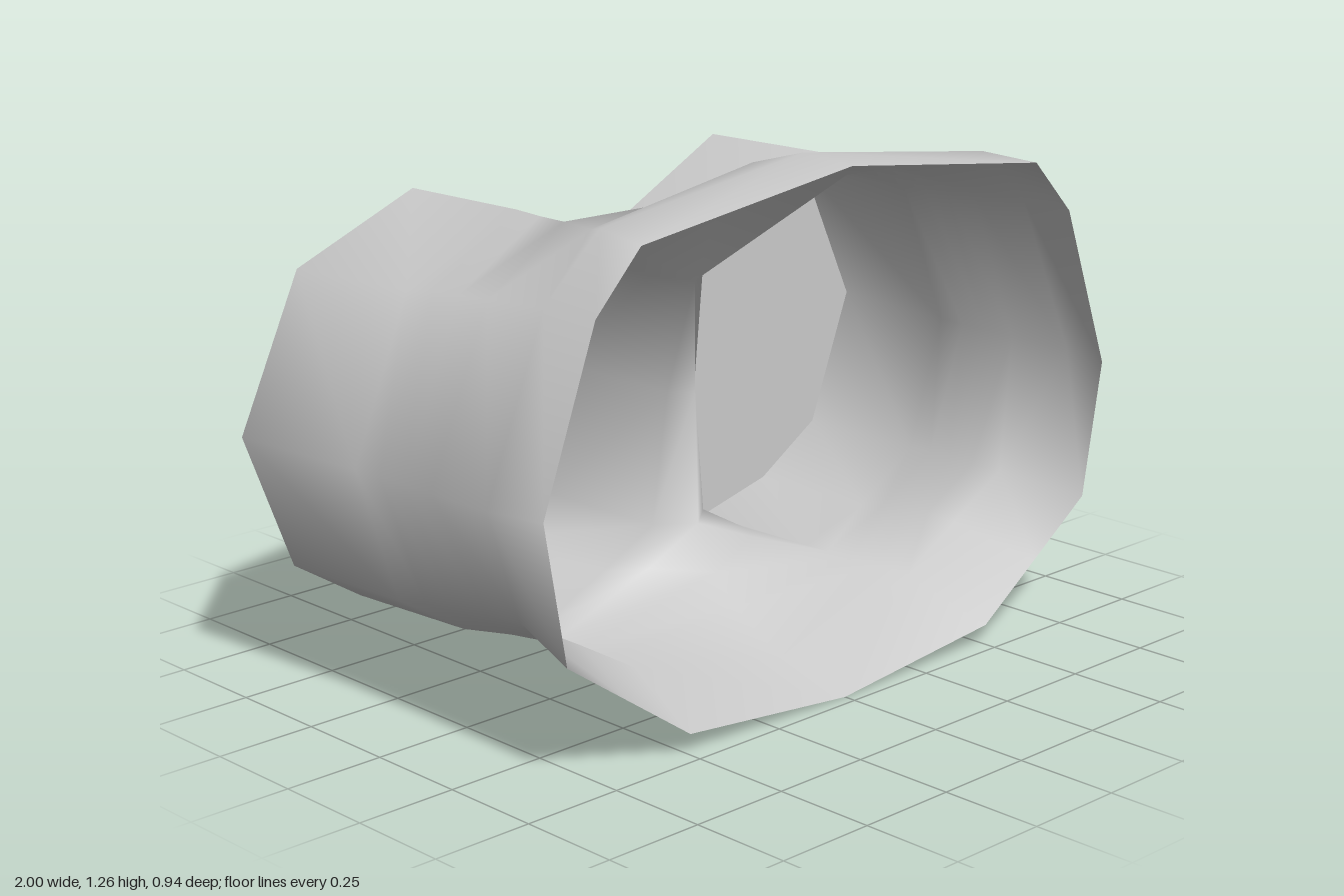
import * as THREE from 'three';
import { mergeVertices } from 'three/addons/utils/BufferGeometryUtils.js';

// Half sections of the body, front opening to crotch: from the top seam round the outside to the bottom seam
const bodySections = [
  [[0, 1.255, .47], [.64, 1.175, .47], [.77, 1.04, .47], [.92, .635, .47], [.86, .3, .47], [.68, .175, .47], [.5, .05, .47], [0, 0, .47]],
  [[0, 1.265, .32], [.62, 1.185, .32], [.78, 1.04, .32], [.955, .635, .33], [.8, .33, .25], [.63, .235, .25], [.46, .135, .25], [0, .04, .26]],
  [[0, 1.22, .16], [.5, 1.14, .16], [.79, 1.03, .15], [.957, .635, .15], [.81, .325, .15], [.64, .23, .15], [.46, .135, .15], [0, .13, .11]],
  [[0, 1.135, .07], [.49, 1.14, .06], [.795, 1.025, .06], [.958, .635, .06], [.83, .32, .06], [.65, .22, .06], [.46, .132, .06], [0, .2, .04]],
];

// Full sections of one leg, crotch to end: the last two points close the inner side
const legSections = [
  [[0, .91, -.03], [.49, 1.14, -.02], [.8, 1.02, -.02], [.96, .635, -.02], [.845, .315, -.02], [.66, .205, -.02], [.46, .13, -.02], [.17, .24, -.01], [0, .31, -.02], [0, .635, -.03]],
  [[.085, .925, -.09], [.49, 1.143, -.1], [.81, 1.01, -.1], [.965, .635, -.1], [.855, .305, -.1], [.67, .19, -.1], [.46, .128, -.1], [.24, .225, -.1], [.085, .31, -.09], [.045, .635, -.08]],
  [[.1, .93, -.47], [.49, 1.138, -.47], [.83, 1, -.47], [1, .637, -.47], [.87, .3, -.47], [.68, .18, -.47], [.46, .125, -.47], [.25, .225, -.47], [.1, .31, -.47], [.05, .637, -.47]],
];

// Adds triangles for one side; the mirrored side reverses the corner order
function pushTriangle(out, side, a, b, c) {
  for (const p of side > 0 ? [a, b, c] : [a, c, b]) out.push(side * p[0], p[1], p[2]);
}

function pushStrip(out, side, from, to, closed) {
  const n = from.length;
  for (let i = 0; i < (closed ? n : n - 1); i++) {
    const j = (i + 1) % n;
    pushTriangle(out, side, from[i], from[j], to[i]);
    pushTriangle(out, side, from[j], to[j], to[i]);
  }
}

function toGeometry(positions) {
  let g = new THREE.BufferGeometry();
  g.setAttribute('position', new THREE.Float32BufferAttribute(positions, 3));
  g = mergeVertices(g, 1e-4);
  g.computeVertexNormals();
  return g;
}

export function createModel() {
  const group = new THREE.Group();
  group.name = 'twinPipe';
  const grey = new THREE.MeshStandardMaterial({ color: 0xcccccc, side: THREE.DoubleSide });
  grey.name = 'light grey';

  const addMesh = (positions, name) => {
    const mesh = new THREE.Mesh(toGeometry(positions), grey);
    mesh.name = name;
    group.add(mesh);
  };

  // Smooth shell: open body splitting into two legs
  const shell = [];
  const crotch = legSections[0];
  // the body's last bottom-seam point joins the seam of the crotch section
  const crotchHalf = crotch.slice(0, 8);
  for (const side of [1, -1]) {
    for (let k = 0; k < bodySections.length - 1; k++) {
      pushStrip(shell, side, bodySections[k], bodySections[k + 1], false);
    }
    const last = bodySections[bodySections.length - 1];
    pushStrip(shell, side, last, crotchHalf, false);
    pushTriangle(shell, side, last[7], crotch[8], crotch[7]);
    for (let k = 0; k < legSections.length - 1; k++) {
      pushStrip(shell, side, legSections[k], legSections[k + 1], true);
    }
  }
  addMesh(shell, 'shell');

  // Flat leg ends
  const end = legSections[legSections.length - 1];
  for (const side of [1, -1]) {
    const cap = [];
    for (let i = 1; i < end.length - 1; i++) pushTriangle(cap, side, end[0], end[i], end[i + 1]);
    addMesh(cap, side > 0 ? 'leftLegEnd' : 'rightLegEnd');
  }
  return group;
}
